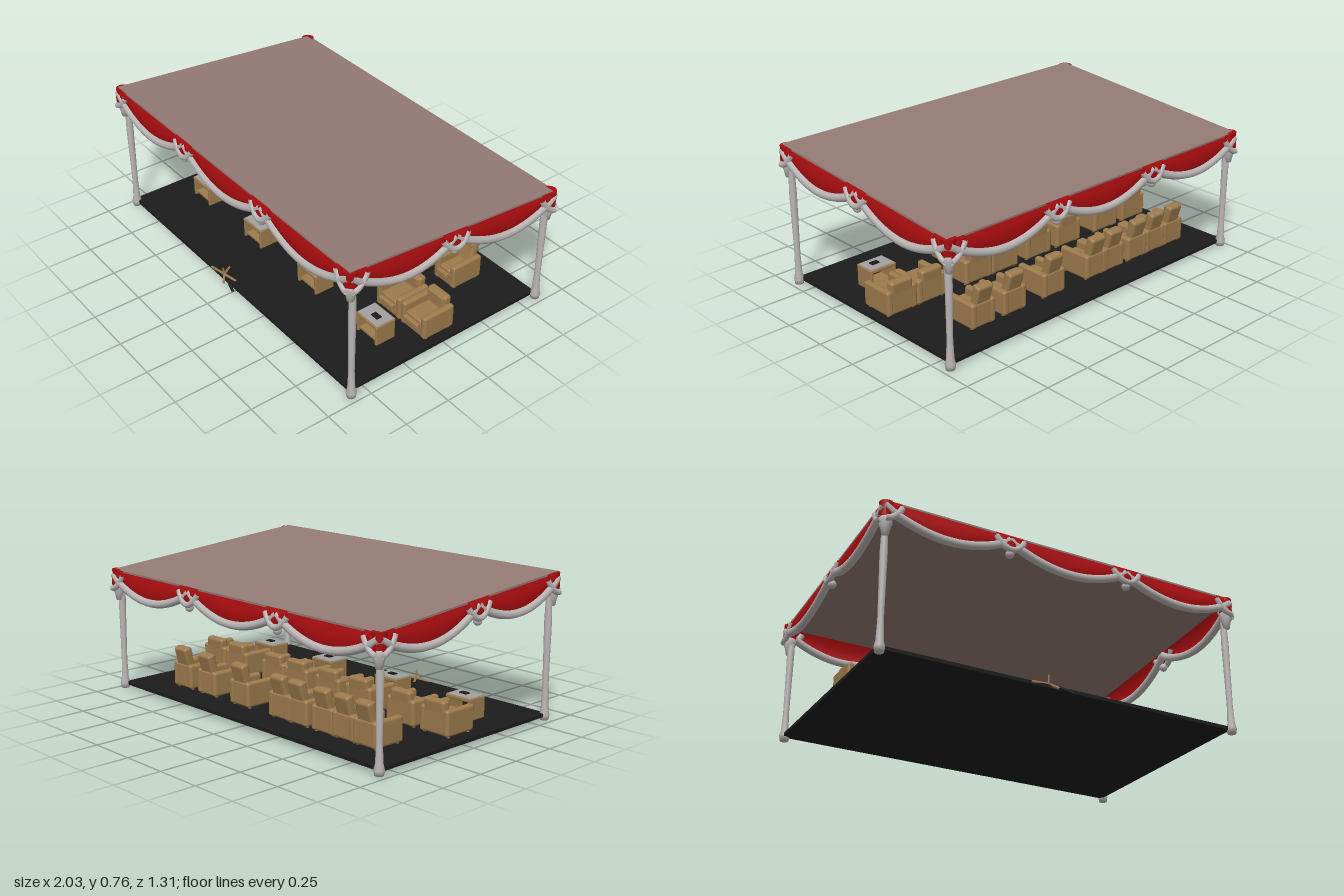
import * as THREE from 'three';
import { RoundedBoxGeometry } from 'three/addons/geometries/RoundedBoxGeometry.js';

const mat = (name, color, side = THREE.FrontSide) =>
  Object.assign(new THREE.MeshStandardMaterial({ color, side }), { name });
const M = {
  canvas: mat('roof canvas', 0x947b75),
  red: mat('red cloth', 0xa80d0f, THREE.DoubleSide),
  white: mat('white cloth', 0xbab5b4, THREE.DoubleSide),
  floor: mat('black carpet', 0x1c1c1c),
  tan: mat('tan leather', 0x9c7a4c),
  glass: mat('grey table top', 0xa3a0a0),
};

function add(parent, name, geo, material, x = 0, y = 0, z = 0) {
  const m = new THREE.Mesh(geo, material);
  m.name = name;
  m.position.set(x, y, z);
  parent.add(m);
  return m;
}
const rbox = (w, h, d, r = 0.012) => new RoundedBoxGeometry(w, h, d, 3, r);
const V = (x, y, z) => new THREE.Vector3(x, y, z);
// height of the sloping roof edge at a given z
const roofY = (z) => 0.703 + 0.08 * z;

// Hanging cloth from a to b (x,z pairs) with a rolled white hem along its curved lower edge
function swag(parent, name, a, b, out, depth, bulge, hem, span = Math.PI) {
  const N = 24, R = 6, pos = [], idx = [];
  const point = (u, v) => {
    const x = a[0] + (b[0] - a[0]) * u, z = a[1] + (b[1] - a[1]) * u;
    const s = Math.pow(Math.max(0, Math.sin(span * u)), 0.8);
    const o = bulge * (0.25 + 0.75 * s) * Math.sin(v * 2.2);
    return V(x + out[0] * o, roofY(z) + 0.003 - v * (0.012 + depth * s), z + out[1] * o);
  };
  for (let i = 0; i <= N; i++)
    for (let j = 0; j <= R; j++) pos.push(...point(i / N, j / R).toArray());
  for (let i = 0; i < N; i++)
    for (let j = 0; j < R; j++) {
      const p = i * (R + 1) + j, q = p + R + 1;
      idx.push(p, p + 1, q, q, p + 1, q + 1);
    }
  const g = new THREE.BufferGeometry();
  g.setAttribute('position', new THREE.Float32BufferAttribute(pos, 3));
  g.setIndex(idx);
  g.computeVertexNormals();
  add(parent, name + 'Cloth', g, M.red);
  const pts = [];
  for (let i = 0; i <= 16; i++) {
    const p = point(i / 16, 1);
    p.y -= hem * 0.8;
    pts.push(p);
  }
  add(parent, name + 'Hem', new THREE.TubeGeometry(new THREE.CatmullRomCurve3(pts), 32, hem, 8), M.white);
}

// One side of the valance: swags between stops, with a gathered knot at each inner stop
function valance(parent, place, stops, out) {
  const n = stops.length;
  for (let i = 0; i < n - 1; i++)
    swag(parent, 'swag', place(stops[i]), place(stops[i + 1]), out, 0.103, 0.02, 0.021);
  for (let i = 1; i < n - 1; i++) {
    const c = stops[i], lift = (t) => place(t).map((v, k) => v + out[k] * 0.006);
    swag(parent, 'knot', lift(c - 0.075), lift(c + 0.075), out, 0.062, 0.02, 0.016);
    const [x, z] = lift(c);
    add(parent, 'knotTail', new THREE.SphereGeometry(0.022, 12, 8), M.white, x, roofY(z) - 0.1, z);
  }
  for (const [e, s] of [[0, 1], [n - 1, -1]]) {
    const lift = (t) => place(t).map((v, k) => v + out[k] * 0.006);
    swag(parent, 'cornerKnot', lift(stops[e] + s * 0.085), lift(stops[e]), out, 0.075, 0.016, 0.016, Math.PI / 2);
  }
}

function armchair(tall, width) {
  const g = new THREE.Group();
  g.name = 'armchair';
  const arm = 0.036, inner = width - 2 * arm;
  add(g, 'base', rbox(inner + 0.02, 0.075, 0.18), M.tan, 0, 0.0825, 0);
  add(g, 'seatCushion', rbox(inner, 0.035, 0.16), M.tan, 0, 0.122, 0.012);
  add(g, 'footrest', rbox(inner * 0.95, 0.03, 0.025, 0.008), M.tan, 0, 0.108, 0.1);
  for (const s of [-1, 1]) {
    const x = s * (width - arm) / 2;
    add(g, 'armrest', rbox(arm, 0.13, 0.19, 0.014), M.tan, x, 0.11, 0);
    for (const z of [-0.07, 0.07]) add(g, 'foot', new THREE.CylinderGeometry(0.009, 0.009, 0.012, 8), M.tan, x, 0.043, z);
  }
  add(g, 'rearPanel', rbox(width - 0.01, 0.125, 0.03), M.tan, 0, 0.11, -0.078);
  const h = tall ? 0.18 : 0.13, w = tall ? 0.098 : 0.13;
  const back = add(g, 'backrest', rbox(w, h, 0.045, 0.015), M.tan, 0, tall ? 0.178 : 0.152, tall ? -0.068 : -0.07);
  back.rotation.x = tall ? -0.27 : -0.08;
  const pad = add(back, 'headPillow', rbox(w * 0.86, 0.05, 0.02, 0.009), M.tan, 0, h * 0.5 - 0.032, 0.02);
  pad.rotation.x = 0.05;
  return g;
}

function sideTable() {
  const g = new THREE.Group();
  g.name = 'sideTable';
  for (const s of [-1, 1]) {
    add(g, 'sidePanel', rbox(0.016, 0.112, 0.115, 0.005), M.tan, s * 0.07, 0.096, 0);
    add(g, 'topRail', rbox(0.155, 0.018, 0.014, 0.005), M.tan, 0, 0.145, s * 0.053);
  }
  add(g, 'lowerShelf', new THREE.BoxGeometry(0.13, 0.01, 0.1), M.tan, 0, 0.062, 0);
  add(g, 'tableTop', new THREE.BoxGeometry(0.145, 0.008, 0.105), M.glass, 0, 0.152, 0);
  add(g, 'tray', new THREE.BoxGeometry(0.045, 0.006, 0.03), M.floor, 0.01, 0.158, 0.005);
  return g;
}

export function createModel() {
  const root = new THREE.Group();
  root.name = 'loungeCanopy';

  add(root, 'carpet', new THREE.BoxGeometry(1.92, 0.018, 1.18), M.floor, -0.01, 0.03, 0);
  const roof = add(root, 'roof', new THREE.BoxGeometry(1.965, 0.01, 1.25), M.canvas, 0, 0.702, 0);
  roof.rotation.x = -Math.atan(0.08);

  // Valance on all four sides
  const drapes = new THREE.Group();
  drapes.name = 'valance';
  root.add(drapes);
  for (const s of [-1, 1]) {
    valance(drapes, (t) => [t, s * 0.618], [-0.98, -0.33, 0.33, 0.98], [0, s]);
    valance(drapes, (t) => [s * 0.978, t], [-0.618, 0.02, 0.618], [s, 0]);
  }

  // Cloth-wrapped poles with flared feet and gathered corner tails
  const poleProfile = [[0, 0], [0.022, 0.004], [0.026, 0.03], [0.019, 0.06], [0.015, 0.16],
    [0.017, 0.35], [0.019, 0.5], [0.016, 0.6]];
  const tailProfile = [[0, -0.17], [0.017, -0.165], [0.024, -0.13], [0.033, -0.105], [0.032, -0.08], [0.02, -0.07]];
  const lathe = (p) => new THREE.LatheGeometry(p.map(([r, y]) => new THREE.Vector2(r, y)), 14);
  for (const x of [-0.96, 0.96])
    for (const z of [-0.592, 0.588]) {
      const top = roofY(z);
      add(root, 'pole', lathe([...poleProfile, [0.018, top - 0.01]]), M.white, x, 0, z);
      const cx = Math.sign(x) * 0.965, cz = Math.sign(z) * 0.604;
      add(root, 'cornerTail', lathe(tailProfile), M.white, cx, top, cz);
      add(root, 'cornerCap', new THREE.CylinderGeometry(0.035, 0.03, 0.085, 14), M.red, cx, top - 0.04, cz);
    }

  // Two rows of armchairs, the rear row with taller backs
  const rows = [
    { tall: false, z: 0.01, width: 0.182, xs: [-0.82, -0.6, -0.31, -0.09, 0.15, 0.33, 0.635, 0.82] },
    { tall: true, z: -0.36, width: 0.15, xs: [-0.725, -0.585, -0.445, -0.265, -0.135, 0.165, 0.43, 0.63] },
  ];
  for (const { tall, z, width, xs } of rows)
    for (const x of xs) {
      const c = armchair(tall, width);
      c.position.set(x, 0, z);
      root.add(c);
    }

  for (const x of [-0.73, -0.24, 0.24, 0.72]) {
    const t = sideTable();
    t.position.set(x, 0, 0.25);
    root.add(t);
  }

  // Small folded stand lying at the front edge
  const stand = new THREE.Group();
  stand.name = 'foldedStand';
  root.add(stand);
  const stick = (name, a, b, r, m) =>
    add(stand, name, new THREE.TubeGeometry(new THREE.LineCurve3(a, b), 1, r, 6), m);
  const hub = V(-0.1, 0.045, 0.58);
  for (const [x, y, z] of [[-0.2, 0.034, 0.59], [-0.14, 0.035, 0.52], [-0.02, 0.038, 0.56], [-0.06, 0.02, 0.61]])
    stick('standLeg', hub, V(x, y, z), 0.007, M.tan);
  stick('standPost', hub, V(-0.1, 0.09, 0.585), 0.005, M.tan);
  stick('standHandle', V(-0.05, 0.035, 0.59), V(0.02, 0.015, 0.605), 0.008, M.floor);
  return root;
}
